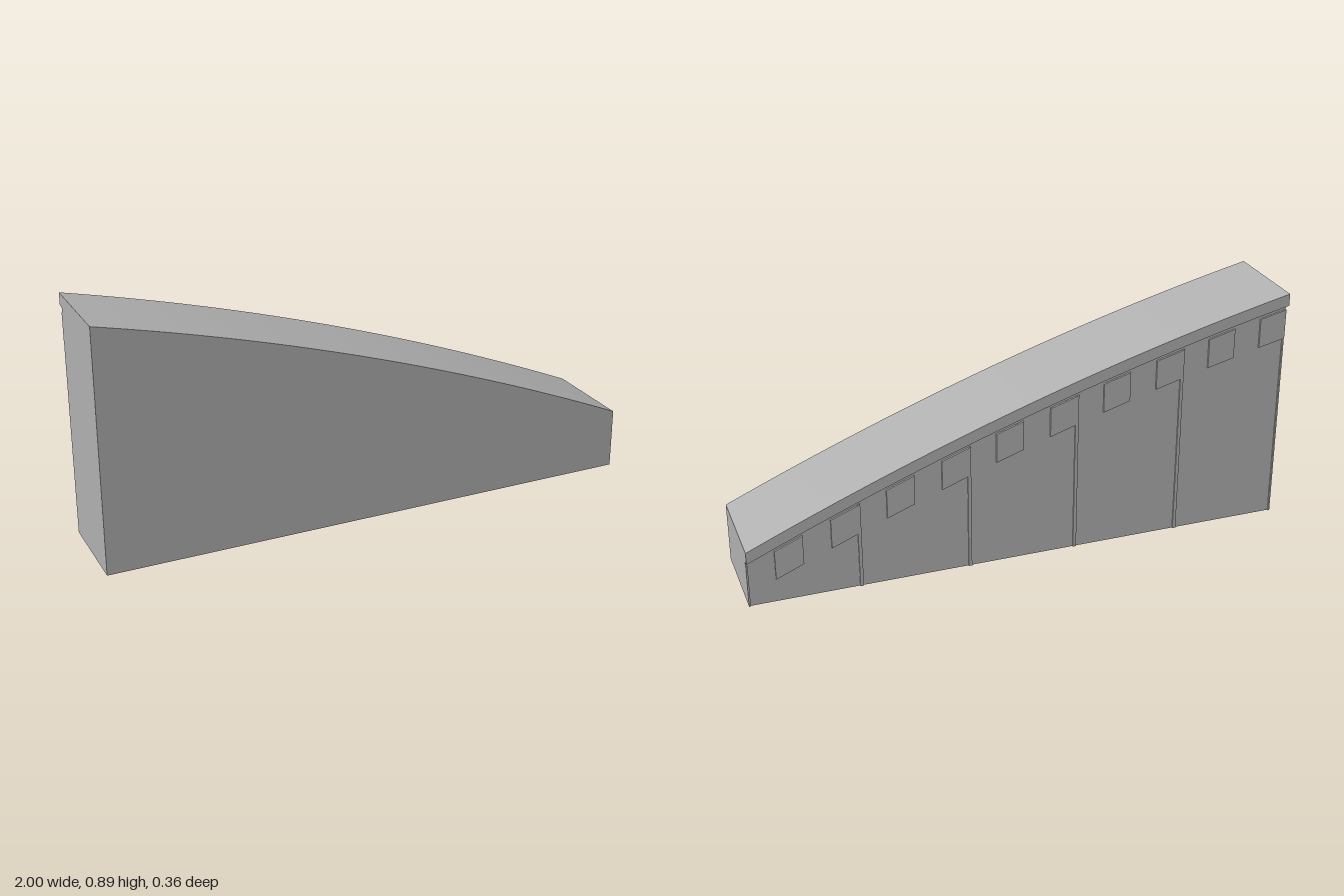
import * as THREE from 'three';

// Height of the curved ramp top along its length
const topAt = (x) => 0.61 - 0.333 * x - 0.054 * x * x;

const FRONT = 0.178, WALL = -0.155, RIB = -0.16, PANEL = -0.162, CORNICE = -0.178;

export function createModel() {
  const group = new THREE.Group();
  group.name = 'curvedRampWall';
  const concrete = new THREE.MeshStandardMaterial({ color: 0xb0b0b0 });
  concrete.name = 'concreteGrey';

  // Slab between x0 and x1: its top follows the curve 'drop' below it;
  // its bottom is the ground, or follows the curve 'bottomDrop' below it
  function slab(name, x0, x1, drop, bottomDrop, zBack, zFront, steps) {
    const at = (i) => x0 + ((x1 - x0) * i) / steps;
    const shape = new THREE.Shape();
    const lower = bottomDrop === null ? 1 : steps;
    for (let i = 0; i <= lower; i++) {
      const x = x0 + ((x1 - x0) * i) / lower;
      const y = bottomDrop === null ? 0 : topAt(x) - bottomDrop;
      if (i === 0) shape.moveTo(x, y);
      else shape.lineTo(x, y);
    }
    for (let i = steps; i >= 0; i--) shape.lineTo(at(i), topAt(at(i)) - drop);
    shape.closePath();
    const geometry = new THREE.ExtrudeGeometry(shape, { depth: zFront - zBack, bevelEnabled: false });
    geometry.translate(0, 0, zBack);
    const mesh = new THREE.Mesh(geometry, concrete);
    mesh.name = name;
    group.add(mesh);
  }

  // Main wall and the overhanging cornice along its back
  slab('wall', -1, 1, 0, null, WALL, FRONT, 32);
  slab('cornice', -1, 1, 0, 0.045, CORNICE, WALL, 32);

  // Upright ribs dividing the back into five bays, half width at the ends
  for (let i = 0; i <= 5; i++) {
    const x = -1 + i * 0.4;
    slab('rib', Math.max(-1, x - 0.006), Math.min(1, x + 0.006), 0.066, null, RIB, WALL, 1);
  }

  // Raised square blocks below the cornice
  for (let i = 0; i < 10; i++) {
    const x = -1 + i * 0.2;
    slab('squareBlock', x, x + 0.1, 0.067, 0.177, PANEL, WALL, 2);
  }
  return group;
}
